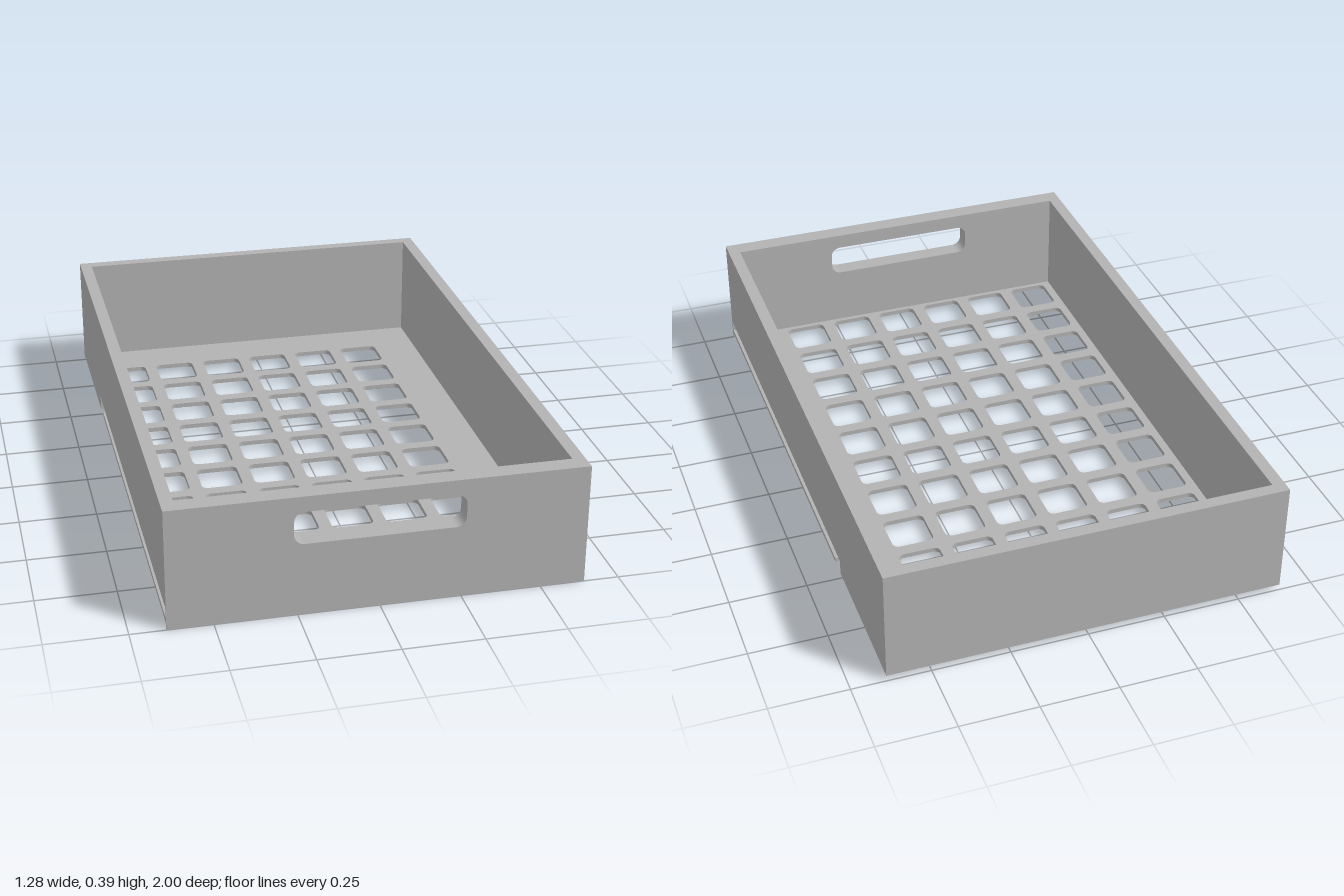
import * as THREE from 'three';

const W = 0.64, L = 1, TOP = 0.39, BASE = 0.02, FLOOR = 0.035;
const SKIN = 0.02, LIP = 0.01; // groove depth and front plate thickness

// Adds a rounded rectangle to a Shape or Path
function roundedRect(path, x0, y0, x1, y1, r) {
  path.moveTo(x0 + r, y0);
  path.lineTo(x1 - r, y0);
  path.absarc(x1 - r, y0 + r, r, -Math.PI / 2, 0);
  path.lineTo(x1, y1 - r);
  path.absarc(x1 - r, y1 - r, r, 0, Math.PI / 2);
  path.lineTo(x0 + r, y1);
  path.absarc(x0 + r, y1 - r, r, Math.PI / 2, Math.PI);
  path.lineTo(x0, y0 + r);
  path.absarc(x0 + r, y0 + r, r, Math.PI, Math.PI * 1.5);
  return path;
}

function polygon(points) {
  return new THREE.Shape(points.map(([x, y]) => new THREE.Vector2(x, y)));
}

function rect(x0, y0, x1, y1) {
  return polygon([[x0, y0], [x1, y0], [x1, y1], [x0, y1]]);
}

function extrude(shape, depth) {
  return new THREE.ExtrudeGeometry(shape, { depth, bevelEnabled: false, curveSegments: 6 });
}

export function createModel() {
  const group = new THREE.Group();
  group.name = 'drawerTray';
  const grey = new THREE.MeshStandardMaterial({ color: 0xb2b2b2 });
  grey.name = 'grey';

  const add = (name, geometry) => {
    const mesh = new THREE.Mesh(geometry, grey);
    mesh.name = name;
    group.add(mesh);
  };
  const addBox = (name, x0, x1, y0, y1, z0, z1) => {
    const geometry = new THREE.BoxGeometry(x1 - x0, y1 - y0, z1 - z0);
    geometry.translate((x0 + x1) / 2, (y0 + y1) / 2, (z0 + z1) / 2);
    add(name, geometry);
  };

  const core = W - SKIN;

  // Floor with a 6 by 10 grid of rounded openings
  const floor = rect(-core, -L, core, L - LIP);
  const size = 0.136, pitch = 0.177;
  for (let i = 0; i < 6; i++) {
    for (let j = 0; j < 10; j++) {
      const x = -0.572 + i * pitch, z = -0.805 + j * pitch;
      floor.holes.push(roundedRect(new THREE.Path(), x, z, x + size, z + size, 0.02));
    }
  }
  add('floor', extrude(floor, FLOOR - BASE).rotateX(Math.PI / 2).translate(0, FLOOR, 0));

  // Front wall and thin front plate with a lower lip, both with the handle slot
  const handle = () => roundedRect(new THREE.Path(), -0.26, 0.235, 0.26, 0.34, 0.032);
  const frontWall = rect(-core, FLOOR, core, TOP);
  frontWall.holes.push(handle());
  add('frontWall', extrude(frontWall, 0.05).translate(0, 0, 0.94));
  const frontPlate = rect(-W, 0, W, TOP);
  frontPlate.holes.push(handle());
  add('frontPlate', extrude(frontPlate, LIP).translate(0, 0, L - LIP));

  // Back wall
  addBox('backWall', -core, core, FLOOR, TOP, -L, -0.96);

  // Side walls: inner layer, outer layer cut away for the runner, and bottom rail
  const sideProfile = polygon([
    [-L, BASE], [-0.5, BASE], [-0.5, 0.07], [L - LIP, 0.07], [L - LIP, TOP], [-L, TOP],
  ]);
  for (const [side, s] of [['left', 1], ['right', -1]]) {
    const mid = s * (W - SKIN / 2);
    const inner = s * (0.6 + core) / 2;
    addBox(side + 'InnerWall', inner - 0.01, inner + 0.01, FLOOR, TOP, -0.96, 0.94);
    add(side + 'OuterWall',
      extrude(sideProfile, SKIN).rotateY(-Math.PI / 2).translate(mid + SKIN / 2, 0, 0));
    addBox(side + 'Rail', mid - SKIN / 2, mid + SKIN / 2, BASE, FLOOR, -0.44, L - LIP);
  }
  return group;
}
